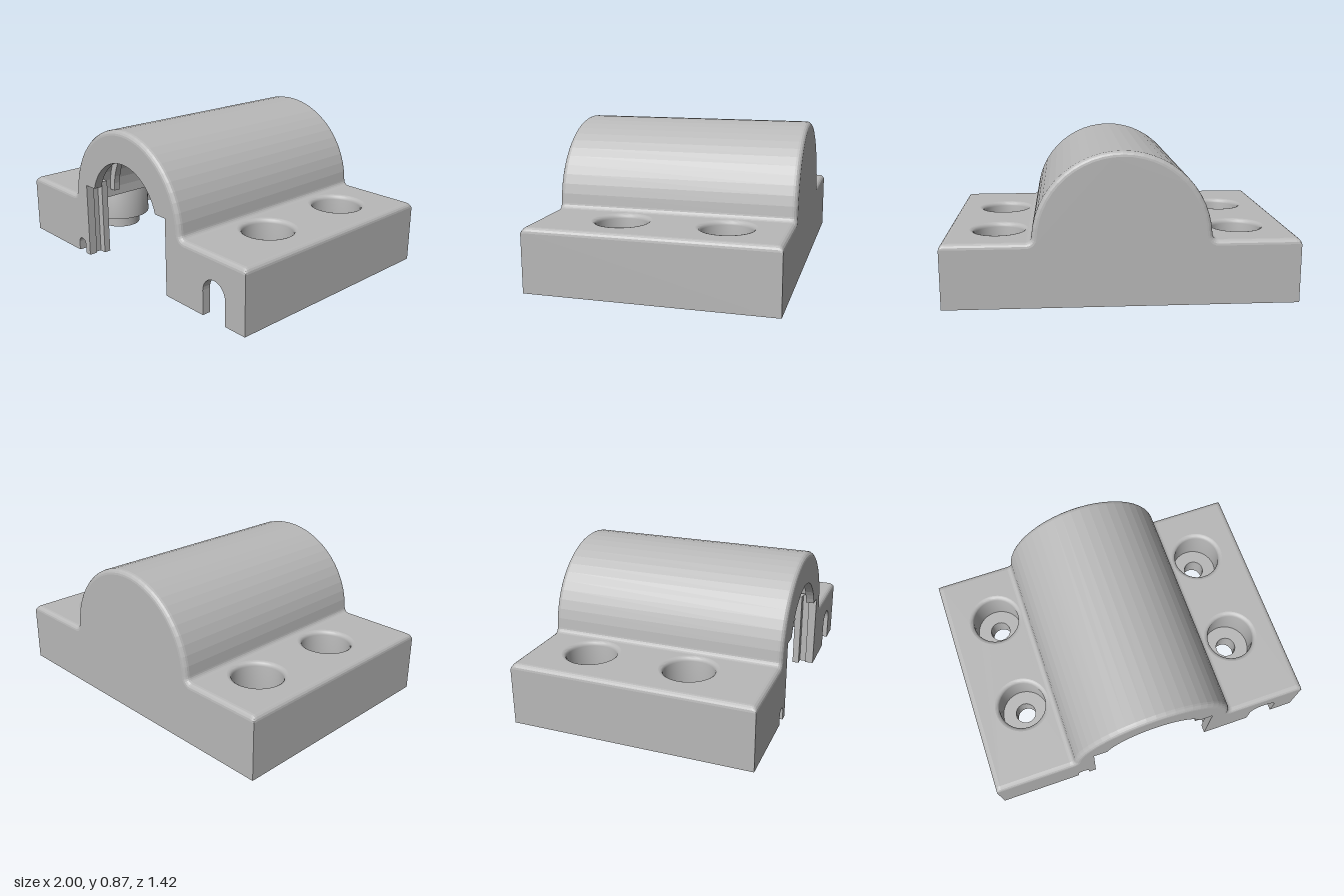
import * as THREE from 'three';
import { toCreasedNormals } from 'three/addons/utils/BufferGeometryUtils.js';

const HZ = 0.71, TOP = 0.37, R = 0.5, ROUND = 0.03, WALL = 0.05;
const CEIL = TOP - WALL, INNER_R = R - WALL;

// points along an arc, optionally squashed in y
function arc(cx, cy, r, a0, a1, n, ry = r) {
  return Array.from({ length: n + 1 }, (_, i) => {
    const a = a0 + (a1 - a0) * i / n;
    return new THREE.Vector2(cx + r * Math.cos(a), cy + ry * Math.sin(a));
  });
}
const flip = (pts) => pts.map((p) => new THREE.Vector2(-p.x, p.y)).reverse();
const V = (x, y) => new THREE.Vector2(x, y);

// outer cross-section, with the top surfaces sunk by d
const CORNER = 4;
function outline(d) {
  const cy = TOP + ROUND, rr = R + ROUND;
  const cx = Math.sqrt(rr * rr - ROUND * ROUND);
  const t = Math.atan2(ROUND, cx);
  const side = [
    V(1, 0),
    ...arc(1 - ROUND, TOP - ROUND, ROUND, 0, Math.PI / 2, CORNER, ROUND - d),
    ...arc(cx, cy, ROUND + d, -Math.PI / 2, -Math.PI + t, 5),
  ];
  const crown = arc(0, TOP, R - d, t, Math.PI - t, 26).slice(1, -1);
  return [...side, ...crown, ...flip(side)];
}

// skin over cross-sections ordered from front to back
function loft(sections, skip = () => false) {
  const pos = [];
  for (let s = 0; s < sections.length - 1; s++) {
    const a = sections[s], b = sections[s + 1];
    for (let i = 0; i < a.pts.length - 1; i++) {
      if (skip(s, i)) continue;
      const p = (q, k) => [q.pts[k].x, q.pts[k].y, q.z];
      pos.push(...p(a, i), ...p(b, i), ...p(a, i + 1));
      pos.push(...p(a, i + 1), ...p(b, i), ...p(b, i + 1));
    }
  }
  const g = new THREE.BufferGeometry();
  g.setAttribute('position', new THREE.Float32BufferAttribute(pos, 3));
  g.computeVertexNormals();
  return g;
}

function extrude(pts, depth, z) {
  const g = new THREE.ExtrudeGeometry(new THREE.Shape(pts), { depth, bevelEnabled: false });
  return g.translate(0, 0, z);
}

export function createModel() {
  const model = new THREE.Group();
  model.name = 'bearingCover';
  const grey = new THREE.MeshStandardMaterial({ color: 0xb8b8b8 });
  grey.name = 'grey plastic';
  const add = (name, geometry) => {
    const m = new THREE.Mesh(geometry, grey);
    m.name = name;
    model.add(m);
    return m;
  };
  const box = (name, x0, x1, y0, y1, z0, z1) => add(name,
    new THREE.BoxGeometry(x1 - x0, y1 - y0, z1 - z0)
      .translate((x0 + x1) / 2, (y0 + y1) / 2, (z0 + z1) / 2));

  // outer skin with rounded end edges, left open where the flange plates go
  const STEPS = 4, front = [];
  for (let i = STEPS; i >= 0; i--) {
    const a = (i / STEPS) * Math.PI / 2;
    front.push({ z: HZ - ROUND + ROUND * Math.sin(a), pts: outline(ROUND * (1 - Math.cos(a))) });
  }
  const back = front.map((s) => ({ z: -s.z, pts: s.pts })).reverse();
  const flat = CORNER + 1, count = front[0].pts.length;
  add('outerShell', loft([...front, ...back],
    (s, i) => s === STEPS && (i === flat || i === count - 2 - flat)));

  // arched tunnel lining
  const t = -Math.asin((TOP - CEIL) / INNER_R);
  const lining = [V(0.51, CEIL), ...arc(0, TOP, INNER_R, t, Math.PI - t, 26), V(-0.51, CEIL)].reverse();
  add('tunnelLining', loft([{ z: HZ - WALL, pts: lining }, { z: WALL - HZ, pts: lining }]));

  // end walls: plain at the back, doorway and cable notches at the front
  const endFace = outline(ROUND);
  add('backWall', extrude(endFace, WALL, -HZ));
  const a0 = Math.asin(0.09 / 0.308);
  add('frontWall', extrude([
    ...endFace,
    V(-0.495, 0), ...arc(-0.46, 0.055, 0.035, Math.PI, 0, 10), V(-0.425, 0),
    V(-0.38, 0), V(-0.38, 0.46), ...arc(0, TOP, 0.308, Math.PI - a0, a0, 24), V(0.38, 0.46), V(0.38, 0),
    V(0.685, 0), ...arc(0.77, 0.145, 0.085, Math.PI, 0, 14), V(0.855, 0),
  ], WALL, HZ - WALL));

  // ribs around the tunnel
  for (const z of [0.22, 0.47]) {
    add('tunnelRib', extrude([
      ...arc(0, TOP, 0.46, 0, Math.PI, 26), ...arc(0, TOP, 0.405, Math.PI, 0, 26),
    ], 0.04, z - 0.02));
  }

  // screw boss: stepped post below, rounded counterbore above, through hole
  const boss = toCreasedNormals(new THREE.LatheGeometry([
    V(0.063, 0.02), V(0.125, 0.02), V(0.125, 0.1), V(0.19, 0.1), V(0.19, 0.33), V(0.17, TOP),
    ...arc(0.17, TOP - 0.025, 0.025, Math.PI / 2, Math.PI, 4),
    V(0.145, 0.15), V(0.063, 0.15), V(0.063, 0.02),
  ], 36), 0.5);

  for (const s of [-1, 1]) {
    // flange plate with holes for the bosses
    const plate = new THREE.Shape([
      V(s * 0.5, -0.68), V(s * 0.97, -0.68), V(s * 0.97, 0.68), V(s * 0.5, 0.68)]);
    for (const z of [-0.36, 0.24]) {
      plate.holes.push(new THREE.Path(arc(s * 0.7, -z, 0.17, 0, Math.PI * 2, 36).slice(0, -1)));
      add('screwBoss', boss).position.set(s * 0.7, 0, z);
    }
    add('flangePlate', new THREE.ExtrudeGeometry(plate, { depth: WALL, bevelEnabled: false })
      .rotateX(-Math.PI / 2).translate(0, CEIL, 0));

    // side wall and the grooved guide beside the doorway
    const span = (a, b) => (s > 0 ? [a, b] : [-b, -a]);
    box('sideWall', ...span(1 - WALL, 0.999), 0, 0.33, -HZ + WALL, HZ - WALL);
    box('guideRail', ...span(0.35, 0.42), 0, 0.47, 0.58, 0.62);
    box('guideWeb', ...span(0.395, 0.42), 0, 0.47, 0.62, HZ - WALL);
  }
  return model;
}
